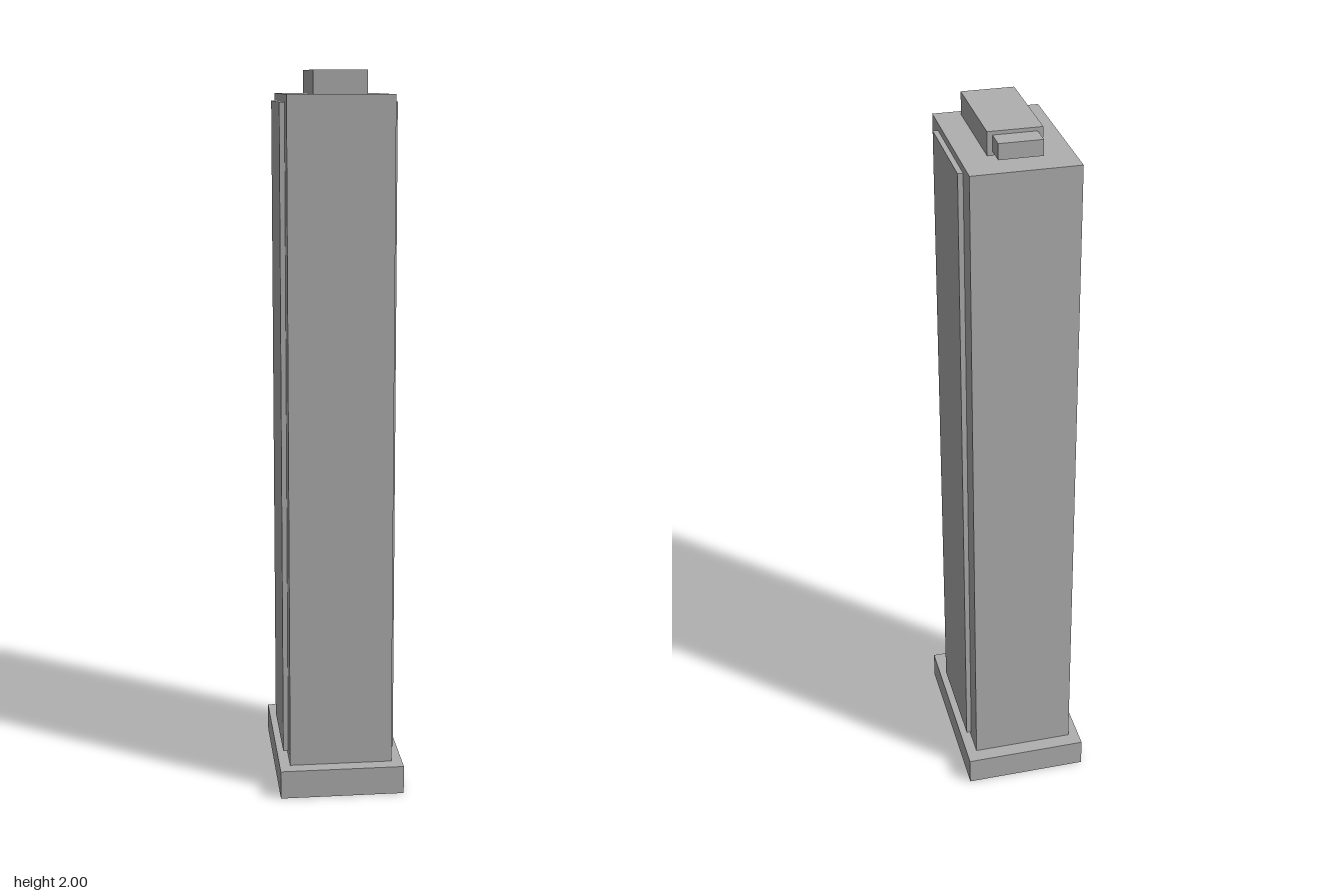
import * as THREE from 'three';

export function createModel() {
  const group = new THREE.Group();
  const concrete = new THREE.MeshStandardMaterial({ color: 0xb0b0b0 });
  concrete.name = 'concrete grey';

  // Axis-aligned block given by its lower and upper corners
  function block(name, [x0, y0, z0], [x1, y1, z1]) {
    const mesh = new THREE.Mesh(new THREE.BoxGeometry(x1 - x0, y1 - y0, z1 - z0), concrete);
    mesh.position.set((x0 + x1) / 2, (y0 + y1) / 2, (z0 + z1) / 2);
    mesh.name = name;
    group.add(mesh);
  }

  // Plinth and main shaft
  block('base', [-0.174, 0, -0.257], [0.174, 0.08, 0.257]);
  block('tower', [-0.144, 0.08, -0.215], [0.144, 1.937, 0.215]);

  // Raised panels on both long sides
  block('leftPanel', [0.144, 0.095, -0.146], [0.158, 1.917, 0.146]);
  block('rightPanel', [-0.158, 0.095, -0.146], [-0.144, 1.917, 0.146]);

  // Rooftop housing with a smaller unit at its back, held just clear of the roof
  block('roofHousing', [-0.072, 1.937, -0.1], [0.072, 2, 0.191]);
  block('roofUnit', [-0.058, 1.947, -0.158], [0.058, 1.99, -0.1]);

  return group;
}
